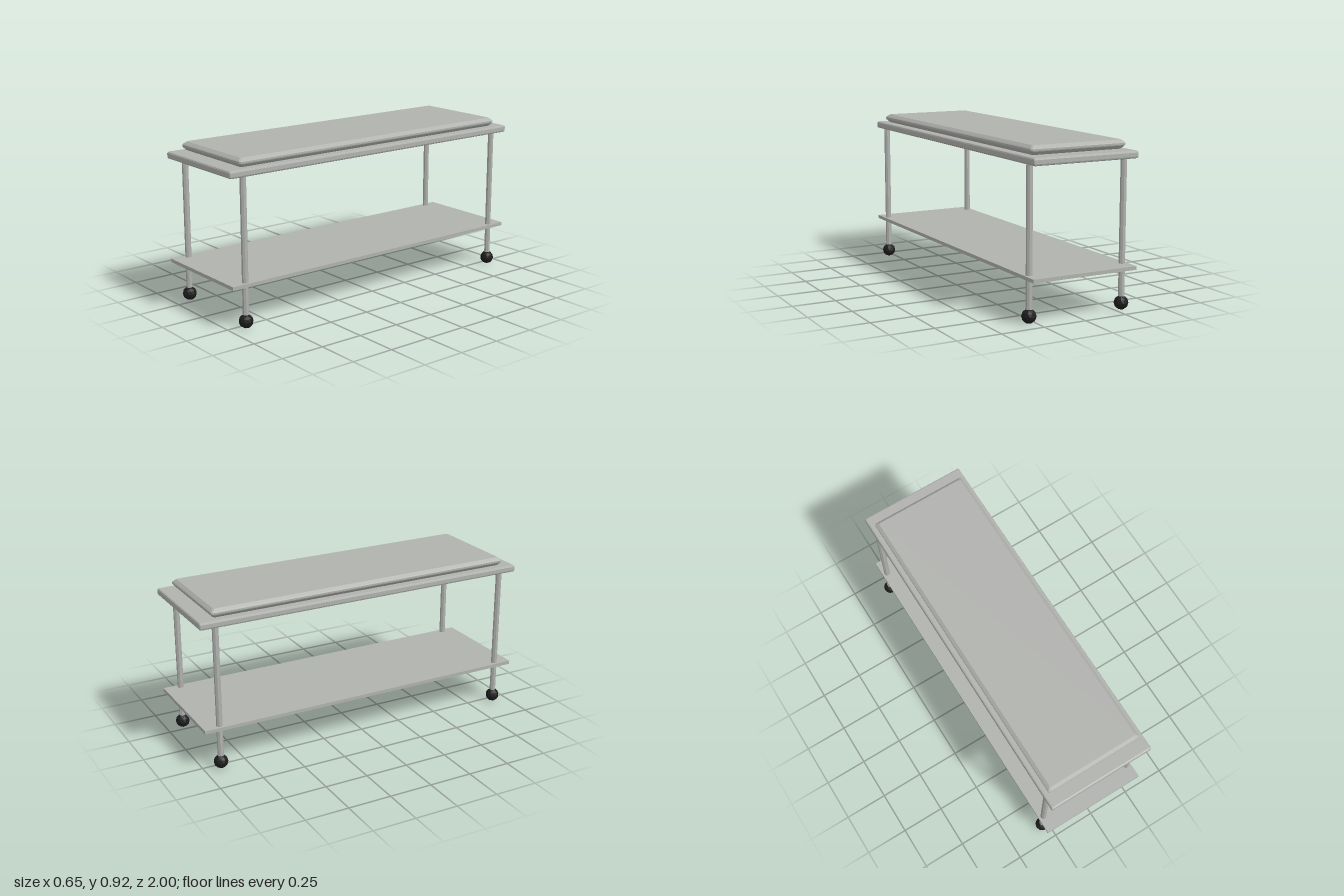
import * as THREE from 'three';

// Slab with bevelled edges: stacked rings of [y, inset], each a rectangle with clipped corners.
function bevelledSlab(halfX, halfZ, clip, profile) {
  const positions = [];
  const index = [];
  for (const [y, inset] of profile) {
    const x = halfX - inset, z = halfZ - inset;
    for (const [px, pz] of [
      [x, z - clip], [x, -z + clip], [x - clip, -z], [-x + clip, -z],
      [-x, -z + clip], [-x, z - clip], [-x + clip, z], [x - clip, z],
    ]) positions.push(px, y, pz);
  }
  const last = (profile.length - 1) * 8;
  for (let r = 0; r < last; r += 8) {
    for (let i = 0; i < 8; i++) {
      const a = r + i, b = r + (i + 1) % 8;
      index.push(a, b, b + 8, a, b + 8, a + 8);
    }
  }
  // Bottom and top caps
  for (let i = 1; i < 7; i++) {
    index.push(0, i + 1, i, last, last + i, last + i + 1);
  }
  const indexed = new THREE.BufferGeometry();
  indexed.setAttribute('position', new THREE.Float32BufferAttribute(positions, 3));
  indexed.setIndex(index);
  const geometry = indexed.toNonIndexed();
  geometry.computeVertexNormals();
  return geometry;
}

export function createModel() {
  const grey = new THREE.MeshStandardMaterial({ color: 0xb0b2ae });
  grey.name = 'brushed grey';
  const black = new THREE.MeshStandardMaterial({ color: 0x1c1c1c });
  black.name = 'black rubber';

  const model = new THREE.Group();
  model.name = 'trolley';
  const add = (name, geometry, material, x = 0, y = 0, z = 0) => {
    const mesh = new THREE.Mesh(geometry, material);
    mesh.name = name;
    mesh.position.set(x, y, z);
    model.add(mesh);
  };

  // Padded top with deep bevels above and below
  add('pad', bevelledSlab(0.288, 0.922, 0.008, [
    [0.875, 0.02], [0.882, 0.011], [0.893, 0.002], [0.898, 0],
    [0.907, 0], [0.912, 0.004], [0.925, 0.019],
  ]), grey);

  // Table top with lightly rounded edges
  add('tableTop', bevelledSlab(0.316, 1, 0.004, [
    [0.832, 0.009], [0.835, 0.003], [0.842, 0],
    [0.863, 0], [0.87, 0.003], [0.873, 0.009],
  ]), grey);

  // Lower shelf
  add('shelf', new THREE.BoxGeometry(0.632, 0.02, 2), grey, 0, 0.247, 0);

  // Legs and ball castors
  const legGeometry = new THREE.CylinderGeometry(0.0175, 0.0175, 0.765, 8).toNonIndexed();
  legGeometry.rotateY(Math.PI / 8);
  legGeometry.computeVertexNormals();
  const castorGeometry = new THREE.IcosahedronGeometry(0.04, 1);
  castorGeometry.rotateX(-Math.atan((1 + Math.sqrt(5)) / 2));
  castorGeometry.computeVertexNormals();
  for (const [side, x] of [['Left', 0.287], ['Right', -0.287]]) {
    for (const [end, z] of [['front', 0.905], ['back', -0.905]]) {
      add(`${end}${side}Leg`, legGeometry, grey, x, 0.4595, z);
      add(`${end}${side}Castor`, castorGeometry, black, x, 0.041, z);
    }
  }
  return model;
}
